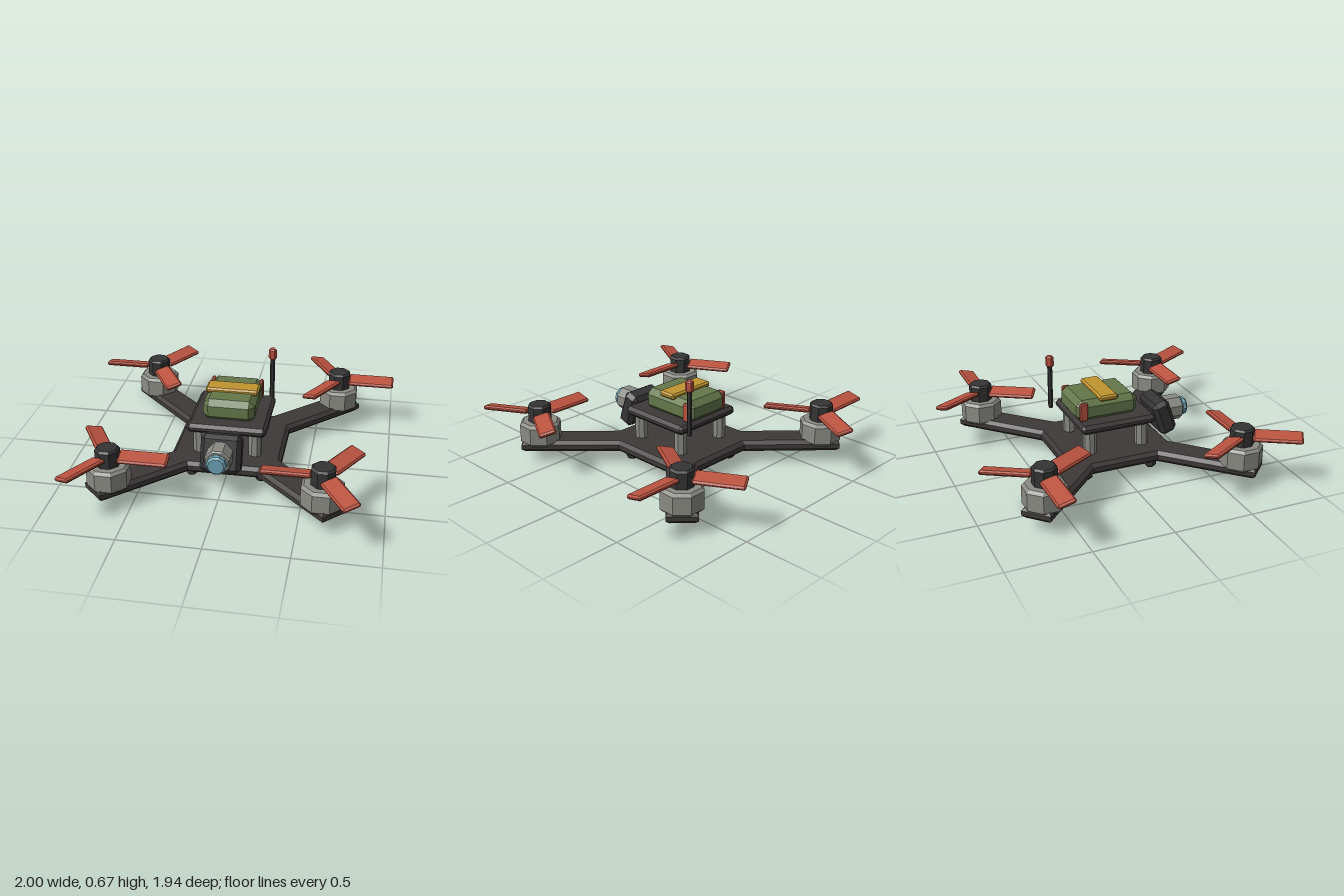
import * as THREE from 'three';
import { ConvexGeometry } from 'three/addons/geometries/ConvexGeometry.js';

const material = (name, color) => {
  const m = new THREE.MeshStandardMaterial({ color });
  m.name = name;
  return m;
};

// Faceted copy of a geometry
function faceted(geometry) {
  const g = geometry.index ? geometry.toNonIndexed() : geometry;
  g.computeVertexNormals();
  return g;
}

// Box with cut edges and corners, centred on the origin
function chamferBox(w, h, d, c) {
  const points = [];
  const half = [w / 2, h / 2, d / 2];
  for (const sx of [-1, 1]) for (const sy of [-1, 1]) for (const sz of [-1, 1]) {
    for (let axis = 0; axis < 3; axis++) {
      const p = half.map((v, i) => (i === axis ? v : v - c));
      points.push(new THREE.Vector3(p[0] * sx, p[1] * sy, p[2] * sz));
    }
  }
  return new ConvexGeometry(points);
}

// Upright solid of few sides with chamfered rims
function post(r, y0, y1, c, sides) {
  const profile = [[0, y0], [r - c, y0], [r, y0 + c], [r, y1 - c], [r - c, y1], [0, y1]];
  const g = new THREE.LatheGeometry(profile.map(([x, y]) => new THREE.Vector2(x, y)), sides);
  return faceted(g.rotateY(Math.PI / sides));
}

export function createModel() {
  const model = new THREE.Group();
  model.name = 'quadcopter';

  const frameDark = material('frame dark', 0x3d3938);
  const hubDark = material('hub charcoal', 0x343435);
  const metal = material('metal grey', 0x8a8b84);
  const red = material('propeller red', 0xbb5340);
  const green = material('battery green', 0x64774a);
  const amber = material('strap amber', 0xc0952f);
  const blue = material('lens blue', 0x6c9fb2);

  const add = (name, geometry, mat, x = 0, y = 0, z = 0, parent = model) => {
    const mesh = new THREE.Mesh(geometry, mat);
    mesh.name = name;
    mesh.position.set(x, y, z);
    parent.add(mesh);
    return mesh;
  };

  // X-shaped frame: one quadrant outline mirrored around the centre
  const quadrant = [[0.345, 0.215], [0.78, 0.65], [0.65, 0.78], [0.215, 0.357]];
  const outline = [];
  for (const [sx, sy] of [[1, 1], [-1, 1], [-1, -1], [1, -1]]) {
    const pts = quadrant.map(([x, y]) => new THREE.Vector2(x * sx, y * sy));
    outline.push(...(sx * sy > 0 ? pts : pts.reverse()));
  }
  const frame = new THREE.ExtrudeGeometry(new THREE.Shape(outline), {
    depth: 0.03, bevelEnabled: true, bevelSegments: 1,
    bevelSize: 0.022, bevelThickness: 0.022, bevelOffset: -0.022,
  });
  frame.rotateX(-Math.PI / 2);
  add('frame', faceted(frame), frameDark, 0, 0.106, -0.005);

  // Feet and standoffs at four corners
  const foot = post(0.04, 0, 0.1, 0.012, 6);
  const standoff = post(0.042, 0.14, 0.32, 0.004, 8);
  for (const sx of [-1, 1]) for (const sz of [-1, 1]) {
    add('foot', foot, frameDark, 0.22 * sx, 0.005, 0.22 * sz - 0.003);
    add('standoff', standoff, metal, 0.175 * sx, 0, 0.175 * sz - 0.003);
  }

  // Motors with three pitched blades each
  const motorBody = post(0.133, 0.13, 0.275, 0.018, 8);
  const hub = post(0.075, 0.25, 0.385, 0.012, 8);
  const blade = chamferBox(0.3, 0.028, 0.11, 0.01);
  blade.rotateX(0.24).translate(0.215, 0, 0);
  for (const sx of [-1, 1]) for (const sz of [-1, 1]) {
    const motor = new THREE.Group();
    motor.name = 'motor';
    motor.position.set(0.634 * sx, 0, 0.632 * sz - 0.005);
    model.add(motor);
    add('motorBody', motorBody, metal, 0, 0, 0, motor);
    add('motorHub', hub, hubDark, 0, 0, 0, motor);
    // rear propellers start outward, front ones inward
    const start = sx * sz < 0 ? 0 : Math.PI;
    for (let i = 0; i < 3; i++) {
      const b = add('propellerBlade', blade, red, 0, 0.328, 0, motor);
      b.rotation.y = start + (i * Math.PI * 2) / 3;
    }
  }

  // Upper deck, battery, strap and side tabs
  add('upperDeck', chamferBox(0.495, 0.058, 0.495, 0.02), frameDark, 0, 0.336, -0.003);
  add('battery', chamferBox(0.325, 0.14, 0.405, 0.036), green, 0, 0.422, -0.045);
  add('batteryStrap', chamferBox(0.335, 0.036, 0.122, 0.011), amber, 0, 0.495, -0.043);
  for (const sx of [-1, 1]) {
    add('batteryTab', chamferBox(0.026, 0.115, 0.052, 0.007), red, 0.156 * sx, 0.425, -0.208);
  }

  // Tilted camera housing with a level lens
  const housing = add('cameraHousing', chamferBox(0.25, 0.235, 0.115, 0.026), hubDark, 0, 0.262, 0.373);
  housing.rotation.x = -0.33;
  const lensBarrel = post(0.083, 0, 0.14, 0.01, 8).rotateX(Math.PI / 2);
  const lensGlass = post(0.061, 0, 0.08, 0.012, 10).rotateX(Math.PI / 2);
  add('lensBarrel', lensBarrel, metal, 0, 0.277, 0.385);
  add('lensGlass', lensGlass, blue, 0, 0.277, 0.485);

  // Antenna behind the deck
  add('antennaMast', post(0.016, 0.32, 0.62, 0.003, 6), hubDark, 0.215, 0, -0.29);
  add('antennaTip', post(0.027, 0.602, 0.675, 0.009, 6), red, 0.215, 0, -0.29);

  return model;
}
